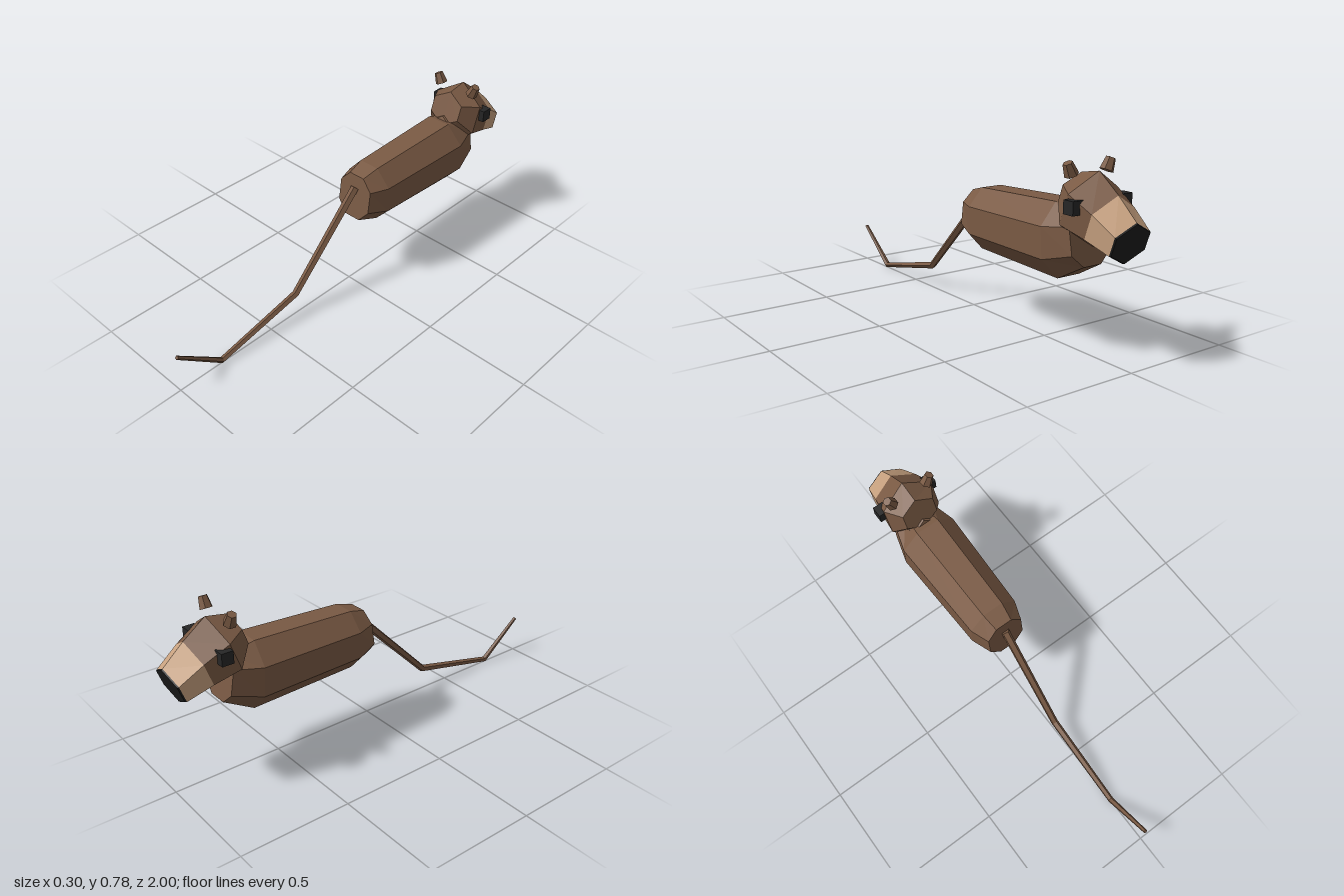
import * as THREE from 'three';

const mat = (color) => new THREE.MeshStandardMaterial({ color, flatShading: true });
const brown = mat(0x7a5a44), tan = mat(0xc8a280), black = mat(0x1c1c1c), eyeBlack = mat(0x262626);

// Skin a list of equal-sized rings running towards -z, with closed ends
function loft(name, rings, material, capStart = true, capEnd = true) {
  const n = rings[0].length, pos = [];
  const tri = (a, b, c) => pos.push(...a, ...b, ...c);
  for (let i = 0; i < rings.length - 1; i++) {
    for (let j = 0; j < n; j++) {
      const k = (j + 1) % n, p = rings[i], q = rings[i + 1];
      tri(p[j], q[j], p[k]);
      tri(q[j], q[k], p[k]);
    }
  }
  const last = rings[rings.length - 1];
  for (let j = 1; j < n - 1; j++) {
    if (capStart) tri(rings[0][0], rings[0][j], rings[0][j + 1]);
    if (capEnd) tri(last[0], last[j + 1], last[j]);
  }
  const geo = new THREE.BufferGeometry();
  geo.setAttribute('position', new THREE.Float32BufferAttribute(pos, 3));
  geo.computeVertexNormals();
  const mesh = new THREE.Mesh(geo, material);
  mesh.name = name;
  return mesh;
}

// Octagon: half-width, half-width of the flat top, four heights, z at top and bottom
function octagon(w, f, [top, upper, lower, bottom], zTop, zBottom) {
  const z = (y) => zBottom + (zTop - zBottom) * (y - bottom) / (top - bottom);
  return [[w, lower], [w, upper], [f, top], [-f, top], [-w, upper], [-w, lower], [-f, bottom], [f, bottom]]
    .map(([x, y]) => [x, y, z(y)]);
}

// Hexagon with a point up, leaning forward: half-width, top point, height
const lean = 0.345;
function hexagon(w, yTop, zTop, h) {
  const at = (x, t) => [x, yTop - t * h * Math.cos(lean), zTop + t * h * Math.sin(lean)];
  return [at(0, 0), at(-w, 0.28), at(-w, 0.72), at(0, 1), at(w, 0.72), at(w, 0.28)];
}

// Pentagonal rings along a bent path of [y, z, radius]
function tailRings(path) {
  const dir = (a, b) => new THREE.Vector2(b[0] - a[0], b[1] - a[1]).normalize();
  return path.map((p, i) => {
    const t = new THREE.Vector2();
    if (i > 0) t.add(dir(path[i - 1], p));
    if (i < path.length - 1) t.add(dir(p, path[i + 1]));
    t.normalize();
    return Array.from({ length: 5 }, (_, j) => {
      const a = j * Math.PI * 2 / 5, u = p[2] * Math.sin(a);
      return [p[2] * Math.cos(a), p[0] - t.y * u, p[1] + t.x * u];
    });
  });
}

export function createModel() {
  const model = new THREE.Group();
  model.name = 'animal';

  // Body, from rump to chest
  model.add(loft('body', [
    octagon(0.089, 0.04, [0.56, 0.508, 0.407, 0.351], -0.05, -0.02),
    octagon(0.12, 0.05, [0.582, 0.505, 0.385, 0.31], -0.13, -0.13),
    octagon(0.137, 0.057, [0.603, 0.515, 0.385, 0.297], -0.62, -0.64),
    octagon(0.1, 0.045, [0.57, 0.53, 0.42, 0.37], -0.74, -0.775),
  ], brown));

  // Neck, mostly hidden between body and head
  model.add(loft('neck', [
    hexagon(0.065, 0.614, -0.65, 0.15),
    hexagon(0.075, 0.62, -0.75, 0.16),
  ], brown));

  // Head, muzzle and nose
  const head = new THREE.Group();
  head.name = 'head';
  const muzzleBack = hexagon(0.11, 0.665, -0.9, 0.24);
  const muzzleFront = hexagon(0.09, 0.58, -0.995, 0.178);
  head.add(loft('skull', [
    hexagon(0.08, 0.725, -0.7, 0.165),
    hexagon(0.128, 0.742, -0.797, 0.3),
    muzzleBack,
  ], brown, true, false));
  head.add(loft('muzzle', [muzzleBack, muzzleFront], tan, false, false));
  head.add(loft('nose', [muzzleFront, hexagon(0.086, 0.575, -1, 0.17)], black));

  // Eyes and ears on both sides
  for (const [side, s] of [['left', 1], ['right', -1]]) {
    const eye = new THREE.Mesh(new THREE.BoxGeometry(0.05, 0.055, 0.053), eyeBlack);
    eye.name = side + 'Eye';
    eye.position.set(s * 0.127, 0.619, -0.796);
    const ear = new THREE.Mesh(new THREE.CylinderGeometry(0.02, 0.029, 0.052, 6), brown);
    ear.name = side + 'Ear';
    ear.position.set(s * 0.1, 0.751, -0.742);
    ear.rotation.z = -s * 0.43;
    head.add(eye, ear);
  }
  model.add(head);

  // Tail, from tip to root
  model.add(loft('tail', tailRings([
    [0.19, 0.995, 0.009], [0.019, 0.78, 0.014], [0.116, 0.345, 0.017], [0.5, -0.04, 0.02],
  ]), brown));

  return model;
}
